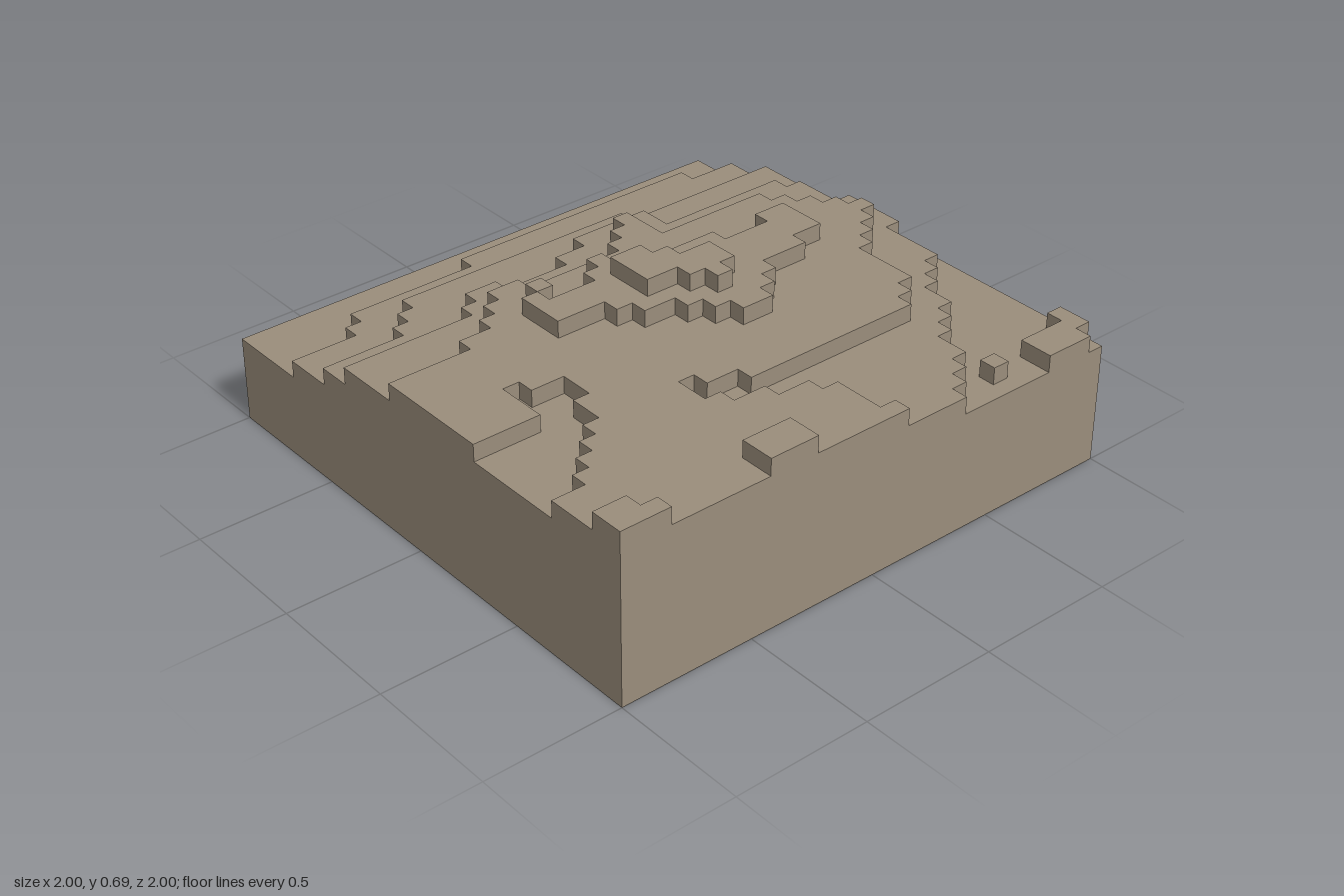
import * as THREE from 'three';
import { mergeGeometries } from 'three/addons/utils/BufferGeometryUtils.js';

const CELLS = 32;
const CELL = 2 / CELLS;
const BASE = 5;

// Terrace outlines in cells (column from -x, row from -z); blocks fill the cells whose centre lies inside
const lowestOutline = [2.7, 0, 2.4, 4, 2.5, 19, 3.4, 27, 5, 29, 5, 32, 32, 32, 32, 0];
const lowOutline = [6, 0, 5.6, 9.5, 5, 10.5, 5, 24.3, 8, 27.3, 8, 32, 32, 32, 32, 0];
const middleOutline = [15, 0, 20.7, 1.5, 32, 10, 32, 32, 10, 32, 10, 24.5, 8.2, 22.5,
  9, 17.5, 7, 14.5, 7, 10.5, 9, 9.5, 9, 2, 14.2, 0];
const highOutline = [32, 14.2, 28, 15.5, 25, 21, 22.7, 21, 25, 17.5, 25, 7.5, 22.5, 5, 19.5, 5,
  15.5, 1, 11, 5.5, 11, 11.5, 8, 12.5, 11.2, 15.5, 10.3, 22.5, 14, 27.5, 14, 32,
  21, 32, 21, 28, 18.2, 28, 19, 25, 20.8, 25, 27.4, 30.5, 27.4, 32, 32, 32];
const upperOutline = [14, 6, 17, 6, 18, 10.5, 21, 13.5, 21, 14.5, 18.3, 17.5, 16, 20.5,
  16, 23, 13.2, 23, 14, 19.5, 12, 17.5, 14, 15.5, 14, 11.5, 15, 10.5];
const summitOutline = [16, 13, 18, 13, 19, 14.5, 17, 16.5, 17, 18, 14, 18, 14, 16.5, 16, 14.5];

const rect = (x0, y0, x1, y1) => [x0, y0, x1, y0, x1, y1, x0, y1];

function inside(outline, x, y) {
  let hit = false;
  for (let i = 0, n = outline.length; i < n; i += 2) {
    const [ax, ay, bx, by] = [0, 1, 2, 3].map((k) => outline[(i + k) % n]);
    if (ay > y !== by > y && x < ax + ((y - ay) * (bx - ax)) / (by - ay)) hit = !hit;
  }
  return hit;
}

export function createModel() {
  const model = new THREE.Group();
  model.name = 'steppedHill';
  const stone = new THREE.MeshStandardMaterial({ color: 0x9a8d7b });
  stone.name = 'stone';

  // Each terrace stands one block higher than the one before; small outcrops follow the main outline
  const terraces = [
    { name: 'base', areas: [rect(0, 0, CELLS, CELLS)] },
    { name: 'lowestTerrace', areas: [lowestOutline] },
    { name: 'lowTerrace', areas: [lowOutline] },
    { name: 'middleTerrace',
      areas: [middleOutline, rect(30, 6, 31, 7), rect(29, 0, 31, 1), rect(30, 1, 32, 4)] },
    { name: 'highTerrace', areas: [highOutline] },
    { name: 'upperTerrace',
      areas: [upperOutline, rect(12, 21, 13, 22), rect(30, 20, 32, 23),
        rect(31, 29, 32, 30), rect(30, 30, 32, 32)] },
    { name: 'summit', areas: [summitOutline] },
  ];

  // Height in blocks of a cell; zero outside the model
  const heights = new Map();
  const heightAt = (c, r) => heights.get(`${c},${r}`) ?? 0;
  const eachCell = (visit) => {
    for (let r = 0; r < CELLS; r++) for (let c = 0; c < CELLS; c++) visit(c, r);
  };
  terraces.forEach(({ areas }, i) => eachCell((c, r) => {
    if (areas.some((area) => inside(area, c + 0.5, r + 0.5))) heights.set(`${c},${r}`, BASE + i);
  }));

  terraces.forEach(({ name }, i) => {
    const level = BASE + i;
    const faces = [];
    eachCell((c, r) => {
      if (heightAt(c, r) !== level) return;
      const x = (c + 0.5) * CELL - 1;
      const z = (r + 0.5) * CELL - 1;
      // Top of the block
      faces.push(new THREE.PlaneGeometry(CELL, CELL).rotateX(-Math.PI / 2).translate(x, level * CELL, z));
      // Exposed sides, down to each lower neighbour
      for (let k = 0; k < 4; k++) {
        const angle = (k * Math.PI) / 2;
        const low = heightAt(c + Math.round(Math.sin(angle)), r + Math.round(Math.cos(angle)));
        if (low >= level) continue;
        faces.push(new THREE.PlaneGeometry(CELL, (level - low) * CELL)
          .translate(0, 0, CELL / 2)
          .rotateY(angle)
          .translate(x, ((level + low) / 2) * CELL, z));
      }
    });
    const mesh = new THREE.Mesh(mergeGeometries(faces), stone);
    mesh.name = name;
    model.add(mesh);
  });

  // Flat underside
  const underside = new THREE.Mesh(new THREE.PlaneGeometry(2, 2).rotateX(Math.PI / 2), stone);
  underside.name = 'underside';
  model.add(underside);
  return model;
}
